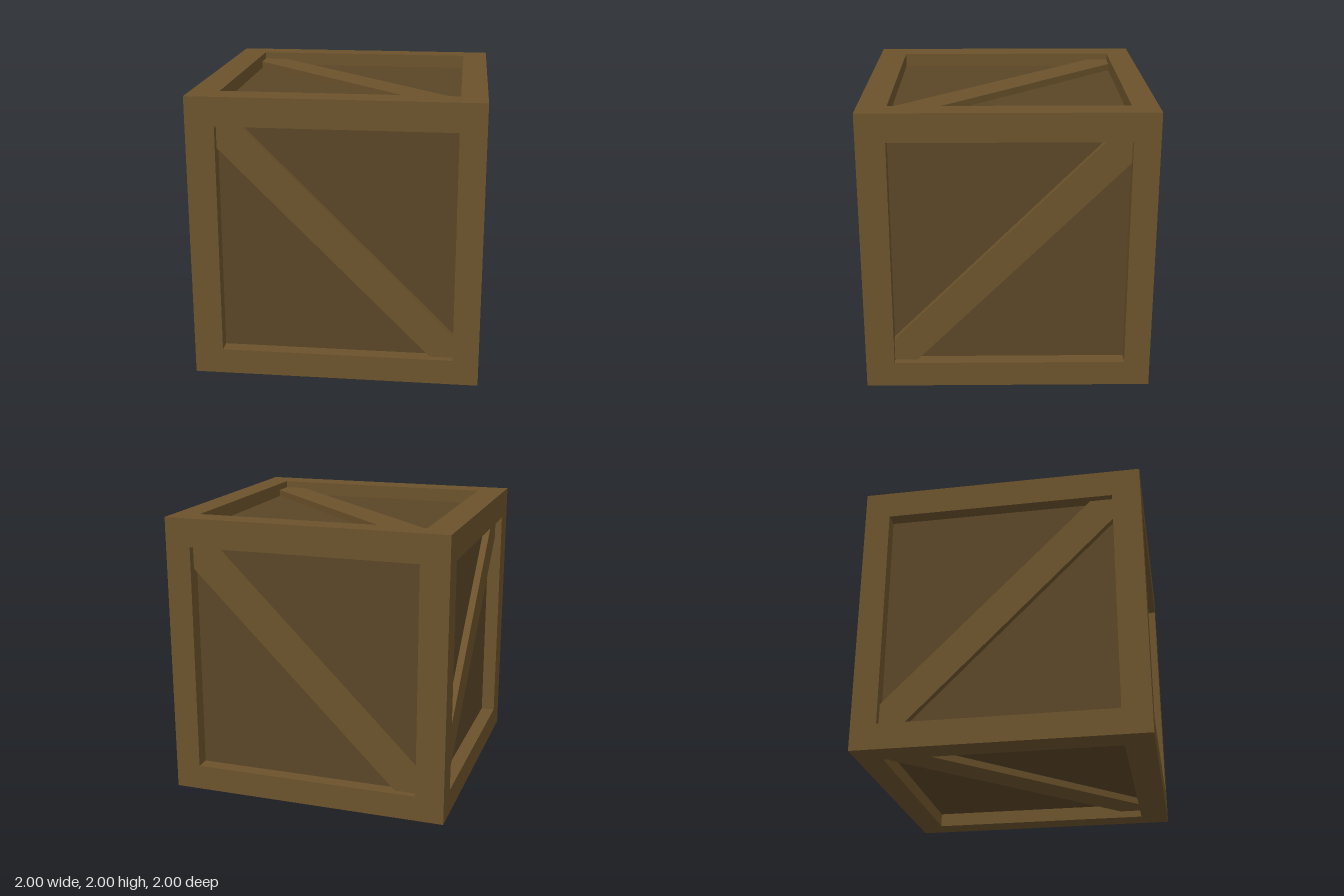
import * as THREE from 'three';

const FRAME = new THREE.MeshStandardMaterial({ color: 0x6b522b, flatShading: true });
const PANEL = new THREE.MeshStandardMaterial({ color: 0x5a4627, flatShading: true });

// Extent of the recessed openings along each axis, measured from the crate's centre
const OPEN = { x: [-0.8, 0.82], y: [-0.82, 0.8], z: [-0.82, 0.8] };
const PANEL_AT = 0.9, BRACE_AT = 0.95, NOTCH = 0.16;

// Box spanning three [low, high] ranges
function spanBox(name, material, x, y, z) {
  const geometry = new THREE.BoxGeometry(x[1] - x[0], y[1] - y[0], z[1] - z[0]);
  const mesh = new THREE.Mesh(geometry, material);
  mesh.position.set((x[0] + x[1]) / 2, (y[0] + y[1]) / 2, (z[0] + z[1]) / 2);
  mesh.name = name;
  return mesh;
}

// Unit vector and opening range for a signed axis such as '-z'
function signedAxis(id) {
  const sign = id[0] === '-' ? -1 : 1, axis = id[1];
  const vector = new THREE.Vector3();
  vector[axis] = sign;
  const [a, b] = OPEN[axis];
  return { vector, range: sign > 0 ? [a, b] : [-b, -a] };
}

// Diagonal plank cut to fit into two opposite corners of an opening
function brace(name, u, v, n, rising) {
  const U = signedAxis(u), V = signedAxis(v), N = signedAxis(n);
  const [l, r] = U.range, [b, t] = V.range, k = NOTCH;
  const outline = rising
    ? [[l, b], [l + k, b], [r, t - k], [r, t], [r - k, t], [l, b + k]]
    : [[l, t], [l, t - k], [r - k, b], [r, b], [r, b + k], [l + k, t]];
  const shape = new THREE.Shape(outline.map(([x, y]) => new THREE.Vector2(x, y)));
  const geometry = new THREE.ExtrudeGeometry(shape, { depth: BRACE_AT - PANEL_AT, bevelEnabled: false });
  geometry.translate(0, 0, PANEL_AT);
  geometry.applyMatrix4(new THREE.Matrix4().makeBasis(U.vector, V.vector, N.vector));
  const mesh = new THREE.Mesh(geometry, FRAME);
  mesh.name = name;
  return mesh;
}

export function createModel() {
  const crate = new THREE.Group();
  crate.name = 'woodenCrate';
  const body = new THREE.Group();
  body.name = 'crateBody';
  body.position.y = 1;
  crate.add(body);

  // Inner box whose sides are the recessed panels
  const inner = [-PANEL_AT, PANEL_AT];
  body.add(spanBox('panels', PANEL, inner, inner, inner));

  // Frame: four posts, with rails between them at top and bottom
  const ends = (axis) => [[-1, OPEN[axis][0]], [OPEN[axis][1], 1]];
  for (const x of ends('x')) for (const z of ends('z')) body.add(spanBox('cornerPost', FRAME, x, [-1, 1], z));
  for (const y of ends('y')) {
    for (const z of ends('z')) body.add(spanBox('crossRail', FRAME, OPEN.x, y, z));
    for (const x of ends('x')) body.add(spanBox('sideRail', FRAME, x, y, OPEN.z));
  }

  // One diagonal brace on each face
  body.add(
    brace('frontBrace', '+x', '+y', '+z', false),
    brace('backBrace', '-x', '+y', '-z', false),
    brace('positiveXBrace', '-z', '+y', '+x', true),
    brace('negativeXBrace', '+z', '+y', '-x', true),
    brace('topBrace', '+x', '-z', '+y', false),
    brace('bottomBrace', '+x', '+z', '-y', true),
  );
  return crate;
}
